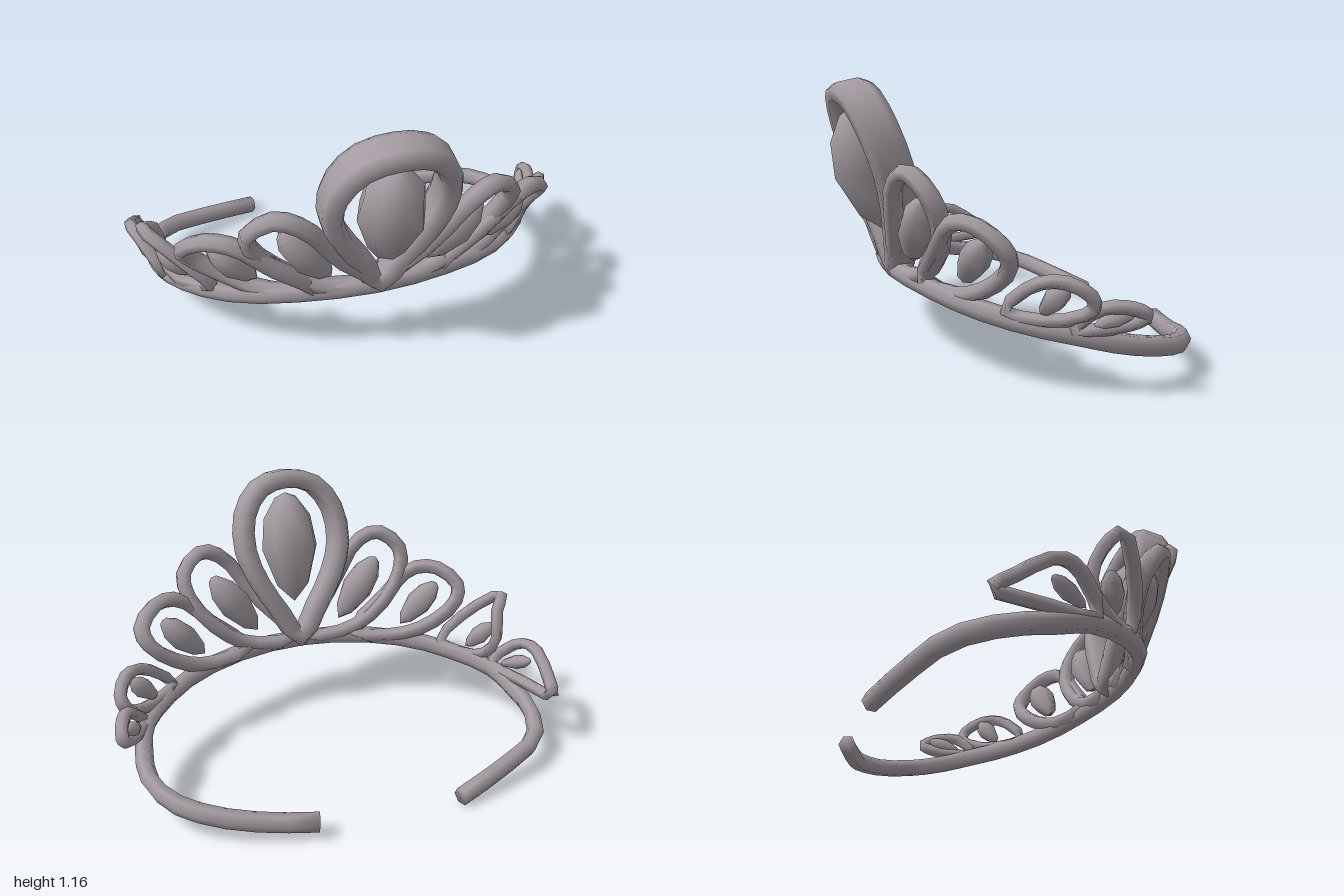
import * as THREE from 'three';

const V = (p) => new THREE.Vector3(...p);
const metal = new THREE.MeshStandardMaterial({ color: 0xa39ba1 });
metal.name = 'mauve grey metal';

// Sweeps a rounded section along a path: half-size a along the axis, b across it.
function sweep(points, { axis, a, b, steps, closed = true, sides = 6, power = 1 }) {
  const curve = new THREE.CatmullRomCurve3(points.map(V), closed, 'centripetal');
  const rows = closed ? steps : steps + 1;
  const pos = [], index = [];
  const bend = (v) => Math.sign(v) * Math.pow(Math.abs(v), power);
  for (let i = 0; i < rows; i++) {
    const c = curve.getPoint(i / steps), t = curve.getTangent(i / steps);
    const n = V(axis).addScaledVector(t, -V(axis).dot(t)).normalize();
    const side = t.clone().cross(n);
    const depth = typeof a === 'function' ? a(c.y) : a;
    for (let j = 0; j < sides; j++) {
      const ang = ((j + 0.5) / sides) * Math.PI * 2;
      const p = c.clone()
        .addScaledVector(n, depth * bend(Math.cos(ang)))
        .addScaledVector(side, b * bend(Math.sin(ang)));
      pos.push(p.x, p.y, p.z);
    }
  }
  for (let i = 0; i < steps; i++) {
    const r = i * sides, s = ((i + 1) % rows) * sides;
    for (let j = 0; j < sides; j++) {
      const k = (j + 1) % sides;
      index.push(r + j, r + k, s + j, r + k, s + k, s + j);
    }
  }
  if (!closed) {
    const e = steps * sides;
    for (let j = 1; j < sides - 1; j++) index.push(0, j + 1, j, e, e + j, e + j + 1);
  }
  const g = new THREE.BufferGeometry();
  g.setAttribute('position', new THREE.Float32BufferAttribute(pos, 3));
  g.setIndex(index);
  g.computeVertexNormals();
  return g;
}

// Tapered gem running from one point to another.
function gemGeometry(from, to, radius, sides = 7) {
  const A = V(from), dir = V(to).sub(A), len = dir.length();
  const profile = [[0, 0], [0.58, 0.16], [1, 0.5], [0.85, 0.78], [0.38, 0.96], [0, 1]]
    .map(([r, h]) => new THREE.Vector2(r * radius, h * len));
  const g = new THREE.LatheGeometry(profile, sides);
  g.applyQuaternion(new THREE.Quaternion().setFromUnitVectors(new THREE.Vector3(0, 1, 0), dir.normalize()));
  return g.translate(A.x, A.y, A.z);
}

export function createModel() {
  const model = new THREE.Group();
  model.name = 'tiara';
  const add = (name, geometry) => {
    const mesh = new THREE.Mesh(geometry, metal);
    mesh.name = name;
    model.add(mesh);
  };
  const mirror = (p) => [-p[0], p[1], p[2]];

  // Open headband, sloping down to the back
  const sideArc = [[0.88, 0.2, -0.13], [0.85, 0.235, 0], [0.74, 0.265, 0.16], [0.56, 0.3, 0.31], [0.3, 0.33, 0.41]];
  add('headband', sweep([
    [-0.34, 0.04, -0.68], [-0.6, 0.085, -0.59], [-0.8, 0.125, -0.49], [-0.88, 0.165, -0.32],
    ...sideArc.map(mirror), [0, 0.34, 0.45], ...sideArc.slice().reverse(),
    [0.89, 0.17, -0.28], [0.83, 0.14, -0.44], [0.7, 0.115, -0.55], [0.5, 0.08, -0.62], [0.29, 0.07, -0.68],
  ], { axis: [0, 1, 0], a: 0.042, b: 0.038, steps: 34, closed: false }));

  // Deep central loop, leaning forward, with its large gem
  const half = [[0.09, 0.49, 0.45], [0.185, 0.65, 0.48], [0.235, 0.8, 0.52], [0.22, 0.96, 0.575], [0.135, 1.075, 0.615]];
  add('centreLoop', sweep(
    [[0, 0.355, 0.43], ...half, [0, 1.11, 0.63], ...half.slice().reverse().map(mirror)],
    { axis: [0, -0.2, 0.98], a: (y) => Math.min(0.085, 0.065 + (y - 0.35) * 0.06), b: 0.046, steps: 24, sides: 8, power: 0.65 }));
  add('centreGem', gemGeometry([0, 0.52, 0.5], [0, 1.04, 0.63], 0.14, 8));

  // Paired loops and gems on both sides
  const innerLoop = [[0.03, 0.36, 0.44], [0.2, 0.57, 0.51], [0.34, 0.77, 0.55], [0.45, 0.82, 0.53],
    [0.55, 0.74, 0.48], [0.53, 0.62, 0.43], [0.4, 0.46, 0.4], [0.24, 0.36, 0.42]];
  const middleLoop = [[0.28, 0.35, 0.41], [0.46, 0.52, 0.43], [0.59, 0.64, 0.42], [0.7, 0.655, 0.37],
    [0.79, 0.58, 0.29], [0.76, 0.5, 0.25], [0.62, 0.39, 0.27], [0.47, 0.33, 0.34]];
  for (const [side, f] of [['left', (p) => p], ['right', mirror]]) {
    add(side + 'InnerLoop', sweep(innerLoop.map(f), { axis: f([0.35, -0.2, 0.9]), a: 0.042, b: 0.036, steps: 18 }));
    add(side + 'MiddleLoop', sweep(middleLoop.map(f), { axis: f([0.6, -0.2, 0.75]), a: 0.04, b: 0.035, steps: 18 }));
    add(side + 'InnerGem', gemGeometry(f([0.21, 0.42, 0.44]), f([0.42, 0.71, 0.47]), 0.078));
    add(side + 'MiddleGem', gemGeometry(f([0.5, 0.39, 0.33]), f([0.69, 0.59, 0.32]), 0.065));
    add(side + 'OuterGem', gemGeometry(f([0.77, 0.31, 0.13]), f([0.88, 0.44, 0.07]), 0.045));
    add(side + 'EndGem', gemGeometry(f([0.88, 0.27, -0.03]), f([0.95, 0.34, -0.18]), 0.035));
  }

  // Outermost small loops differ slightly from side to side
  const small = {
    leftOuterLoop: [[0.68, 0.31, 0.23], [0.8, 0.43, 0.18], [0.89, 0.46, 0.1], [0.94, 0.41, 0.01], [0.92, 0.35, -0.01], [0.81, 0.29, 0.1]],
    rightOuterLoop: [[-0.68, 0.31, 0.23], [-0.8, 0.46, 0.2], [-0.93, 0.575, 0.1], [-0.88, 0.52, 0.04], [-0.86, 0.38, 0], [-0.82, 0.28, 0.08]],
    leftEndLoop: [[0.85, 0.26, 0.03], [0.92, 0.35, -0.04], [0.96, 0.355, -0.14], [0.97, 0.32, -0.21], [0.93, 0.28, -0.15]],
    rightEndLoop: [[-0.86, 0.26, 0.02], [-0.94, 0.39, -0.08], [-0.97, 0.4, -0.17], [-0.965, 0.31, -0.32], [-0.94, 0.265, -0.39], [-0.91, 0.25, -0.22]],
  };
  for (const [name, pts] of Object.entries(small))
    add(name, sweep(pts, { axis: [pts[0][0] > 0 ? 0.9 : -0.9, 0.1, 0.3], a: 0.03, b: 0.027, steps: 14 }));

  return model;
}
